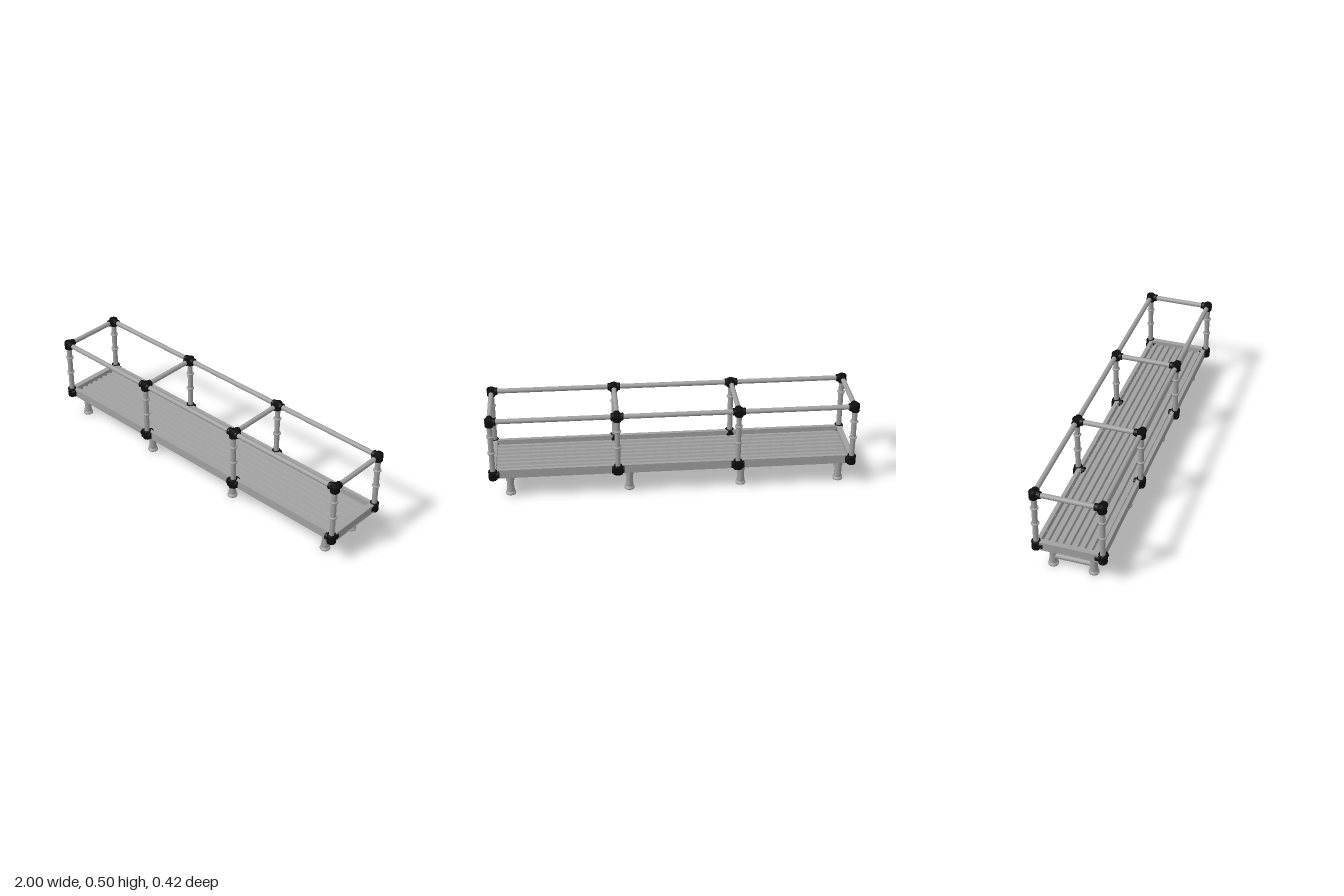
import * as THREE from 'three';

const steel = new THREE.MeshStandardMaterial({ color: 0xa0a0a0 });
steel.name = 'galvanised steel';
const black = new THREE.MeshStandardMaterial({ color: 0x0c0c0c });
black.name = 'black clamp';

const UP = new THREE.Vector3(0, 1, 0);
const V = (x, y, z) => new THREE.Vector3(x, y, z);

export function createModel() {
  const model = new THREE.Group();
  model.name = 'guardedPlatform';

  function add(name, geometry, material, x = 0, y = 0, z = 0, parent = model) {
    const mesh = new THREE.Mesh(geometry, material);
    mesh.name = name;
    mesh.position.set(x, y, z);
    parent.add(mesh);
    return mesh;
  }

  // Round bar between two points
  function bar(name, a, b, radius, material = steel, parent = model) {
    const d = b.clone().sub(a);
    const mid = a.clone().add(b).multiplyScalar(0.5);
    const geo = new THREE.CylinderGeometry(radius, radius, d.length(), 20);
    const mesh = add(name, geo, material, mid.x, mid.y, mid.z, parent);
    mesh.quaternion.setFromUnitVectors(UP, d.normalize());
    return mesh;
  }

  const postX = [-0.974, -0.348, 0.303, 0.974];
  const legX = [-0.92, -0.375, 0.24, 0.888];
  const postZ = 0.176, railY = 0.481, baseY = 0.158;
  const tubeR = 0.0145;

  // Tray: end profile with rims and a corrugated floor, extruded along x
  const bottom = 0.134, rim = 0.183, floor = 0.15, ridge = 0.162;
  const half = 0.176, inner = 0.155, ridges = 8;
  const profile = new THREE.Shape();
  profile.moveTo(-half, bottom);
  profile.lineTo(half, bottom);
  profile.lineTo(half, rim);
  profile.lineTo(inner, rim);
  profile.lineTo(inner, floor);
  const pitch = (2 * inner) / ridges;
  for (let i = 0; i < ridges; i++) {
    const z = inner - i * pitch;
    profile.lineTo(z - pitch * 0.15, floor);
    profile.lineTo(z - pitch * 0.3, ridge);
    profile.lineTo(z - pitch * 0.7, ridge);
    profile.lineTo(z - pitch * 0.85, floor);
  }
  profile.lineTo(-inner, floor);
  profile.lineTo(-inner, rim);
  profile.lineTo(-half, rim);
  const trayLength = 1.95;
  const tray = new THREE.ExtrudeGeometry(profile, { depth: trayLength, bevelEnabled: false });
  tray.translate(0, 0, -trayLength / 2);
  tray.rotateY(Math.PI / 2);
  add('tray', tray, steel);

  // End boards with a raised hand-hold outline
  for (const s of [-1, 1]) {
    add('endBoard', new THREE.BoxGeometry(0.03, rim - bottom, 2 * half), steel,
      s * 0.972, (rim + bottom) / 2, 0);
    const path = new THREE.CatmullRomCurve3([
      V(s * 0.986, 0.153, -0.07), V(s * 0.986, 0.138, -0.062),
      V(s * 0.986, 0.138, 0.062), V(s * 0.986, 0.153, 0.07),
    ], false, 'catmullrom', 0.2);
    add('handHold', new THREE.TubeGeometry(path, 24, 0.003, 6), steel);
  }

  // Bolts along the inner faces of the side rims
  for (const s of [-1, 1]) {
    for (let i = 0; i < 15; i++) {
      const bolt = add('rimBolt', new THREE.CylinderGeometry(0.004, 0.004, 0.005, 8), steel,
        -0.88 + i * 0.1257, 0.172, s * (inner - 0.002));
      bolt.rotation.x = Math.PI / 2;
    }
  }

  // Ribbed clamp sleeve, centred on the origin, axis y
  const sleeveProfile = (r, length) => {
    const pts = [new THREE.Vector2(0, -length / 2)];
    const n = 6;
    for (let i = 0; i <= n; i++) {
      pts.push(new THREE.Vector2(i % 2 ? r : r * 0.92, -length / 2 + (length * i) / n));
    }
    pts.push(new THREE.Vector2(0, length / 2));
    return new THREE.LatheGeometry(pts, 16);
  };

  // Clamp made of an upright sleeve plus sockets along the rails
  function clamp(name, x, y, z, middle, low) {
    const group = new THREE.Group();
    group.name = name;
    group.position.set(x, y, z);
    add('uprightSleeve', sleeveProfile(0.025, low ? 0.052 : 0.044), black, 0, low ? 0 : -0.004, 0, group);
    if (!low) add('cap', new THREE.SphereGeometry(0.024, 16, 10), black, 0, -0.003, 0, group);
    const dirs = middle ? [-1, 1] : [-Math.sign(x)];
    for (const d of dirs) {
      const socket = add('railSocket', sleeveProfile(0.021, 0.034), black, d * 0.017, 0, 0, group);
      socket.rotation.z = Math.PI / 2;
    }
    const s = Math.sign(z);
    const cross = add('crossSocket', sleeveProfile(0.02, 0.036), black, 0, 0, -s * 0.02, group);
    cross.rotation.x = Math.PI / 2;
    if (low && middle) {
      add('clampBlock', new THREE.BoxGeometry(0.05, 0.042, 0.04), black, 0, 0, 0, group);
    }
    model.add(group);
  }

  // Guard posts with double collars, and their clamps
  postX.forEach((x, i) => {
    const middle = i === 1 || i === 2;
    for (const s of [-1, 1]) {
      const z = s * postZ;
      bar('post', V(x, baseY, z), V(x, railY, z), tubeR);
      for (const y of [0.295, 0.393]) {
        const ring = add('postCollar', new THREE.TorusGeometry(0.0155, 0.0065, 8, 20), steel, x, y, z);
        ring.rotation.x = Math.PI / 2;
      }
      clamp('topClamp', x, railY, z, middle, false);
      clamp('bottomClamp', x, baseY, z, middle, true);
    }
    bar('crossRail', V(x, railY, -postZ), V(x, railY, postZ), 0.0135);
  });

  // Long top rails
  for (const s of [-1, 1]) {
    bar('topRail', V(postX[0], railY, s * postZ), V(postX[3], railY, s * postZ), 0.0135);
  }

  // Leg pairs: turned feet, upper sleeves and a tie bar
  const legProfile = [
    [0, 0], [0.027, 0], [0.028, 0.004], [0.027, 0.01], [0.02, 0.014], [0.019, 0.02],
    [0.023, 0.025], [0.0195, 0.029], [0.0195, 0.082], [0.0225, 0.084], [0.0225, 0.14],
  ].map(([r, y]) => new THREE.Vector2(r, y));
  const legGeo = new THREE.LatheGeometry(legProfile, 20);
  for (const x of legX) {
    for (const s of [-1, 1]) add('leg', legGeo, steel, x, 0, s * 0.109);
    bar('legTieBar', V(x, 0.057, -0.109), V(x, 0.057, 0.109), 0.0155);
  }

  // The whole platform sits slightly askew
  model.rotation.y = -0.0107;
  const root = new THREE.Group();
  root.name = 'platform';
  root.add(model);
  return root;
}
